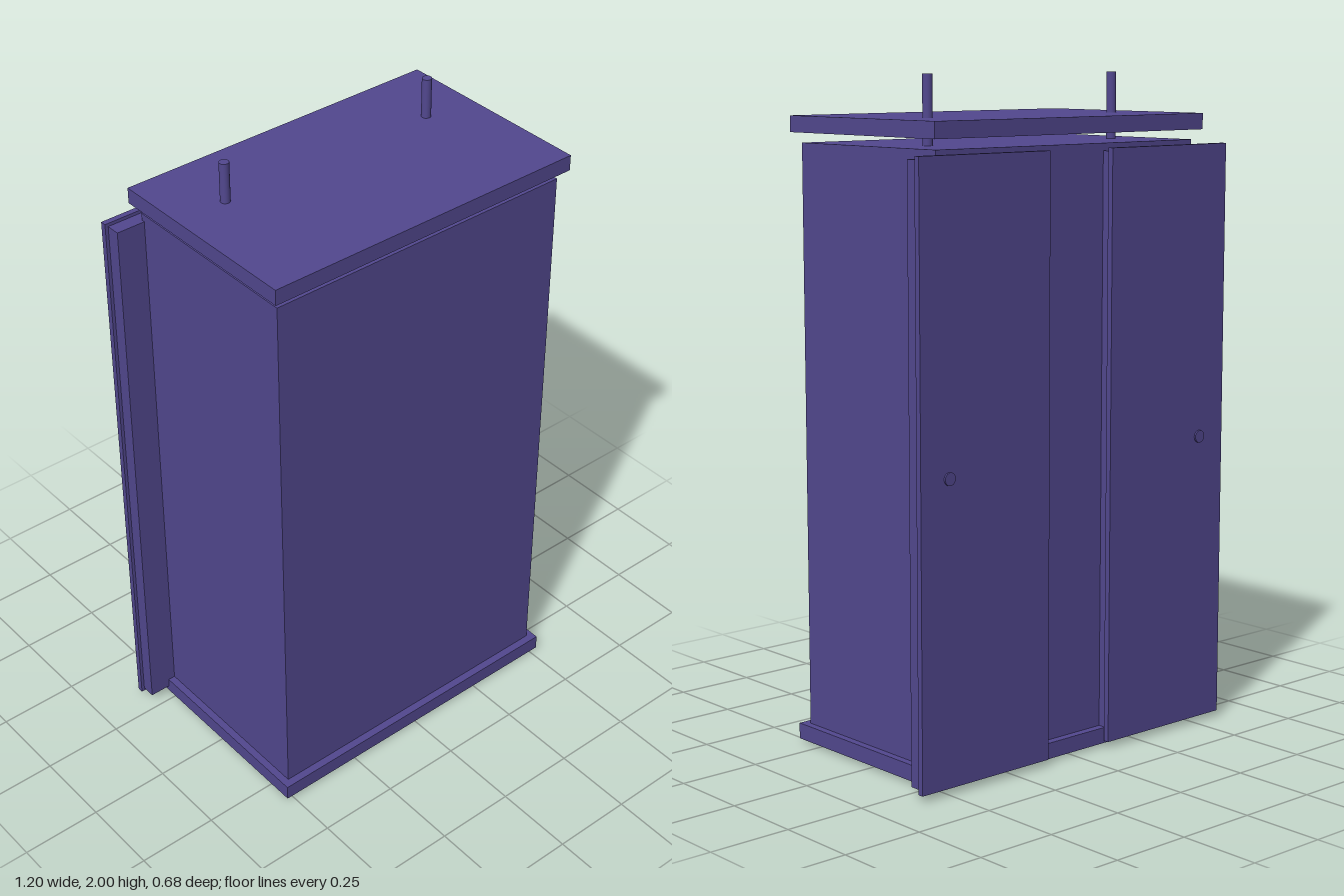
import * as THREE from 'three';

export function createModel() {
  const model = new THREE.Group();
  model.name = 'cabinet';
  const paint = new THREE.MeshStandardMaterial({ color: 0x52488f });
  paint.name = 'violet paint';

  // Box given by its minimum and maximum on each axis
  function box(name, [x0, x1], [y0, y1], [z0, z1], parent = model) {
    const mesh = new THREE.Mesh(new THREE.BoxGeometry(x1 - x0, y1 - y0, z1 - z0), paint);
    mesh.position.set((x0 + x1) / 2, (y0 + y1) / 2, (z0 + z1) / 2);
    mesh.name = name;
    parent.add(mesh);
  }

  // Body with overhanging plinth and raised roof
  box('body', [-0.5, 0.5], [0, 1.8], [-0.285, 0.312]);
  box('plinth', [-0.523, 0.523], [0.01, 0.058], [-0.31, 0.337]);
  box('roof', [-0.523, 0.523], [1.83, 1.878], [-0.31, 0.337]);

  for (const side of [-1, 1]) {
    const span = (a, b) => (side > 0 ? [a, b] : [-b, -a]);

    // Sliding door: thick core with a slightly larger face panel
    const door = new THREE.Group();
    door.name = side > 0 ? 'leftDoor' : 'rightDoor';
    model.add(door);
    box('doorCore', span(0.133, 0.59), [0.03, 1.778], [-0.318, -0.274], door);
    box('doorPanel', span(0.122, 0.6), [0.02, 1.788], [-0.335, -0.317], door);

    // Round finger pull
    const pull = new THREE.Mesh(new THREE.CylinderGeometry(0.019, 0.019, 0.008, 20), paint);
    pull.rotation.x = Math.PI / 2;
    pull.position.set(side * 0.498, 0.905, -0.3365);
    pull.name = 'doorPull';
    door.add(pull);

    // Hanging rod through the roof
    const rod = new THREE.Mesh(new THREE.CylinderGeometry(0.0145, 0.0145, 0.21, 20), paint);
    rod.position.set(side * 0.36, 1.895, -0.086);
    rod.name = 'hangingRod';
    model.add(rod);
  }
  return model;
}
